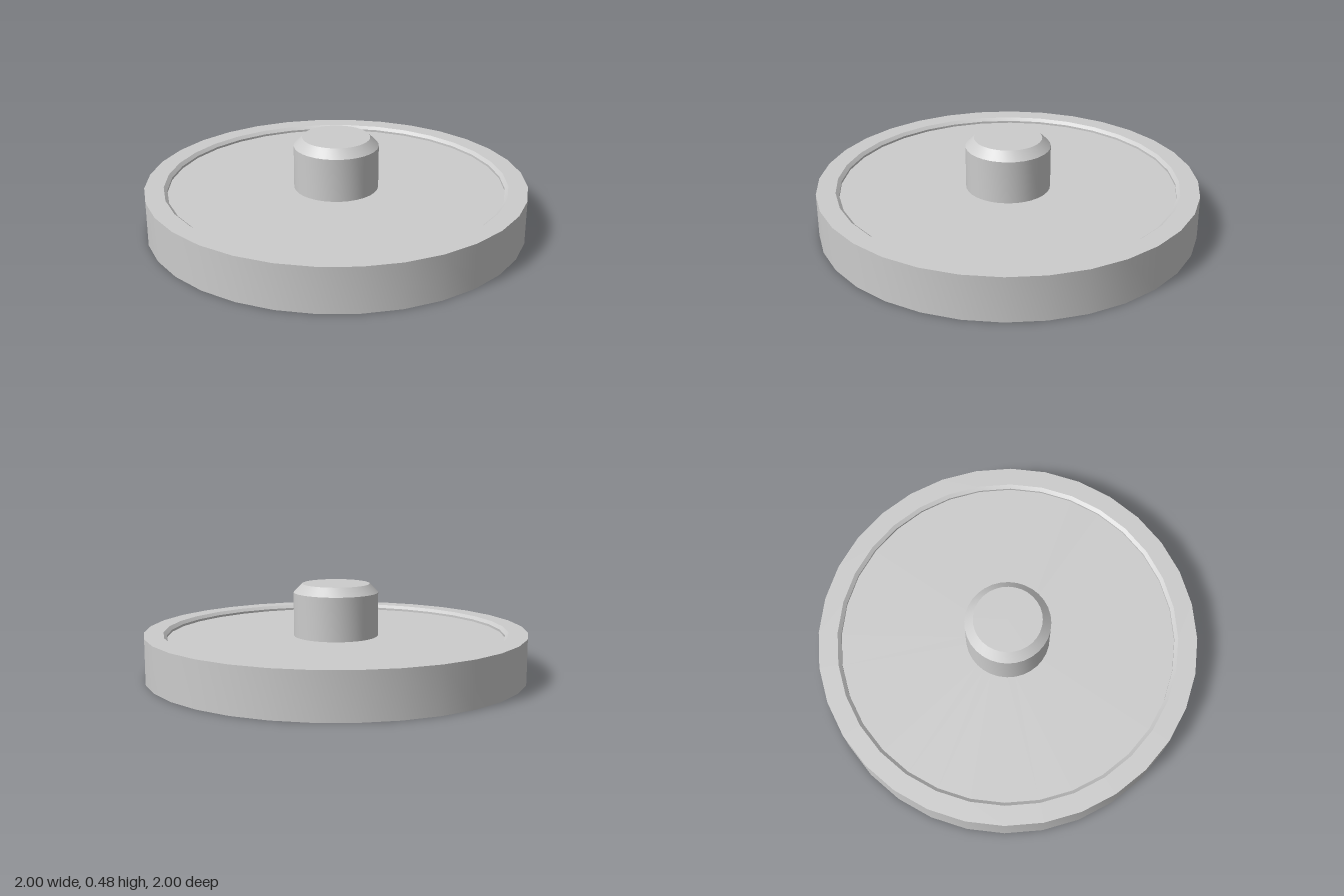
import * as THREE from 'three';
import { toCreasedNormals } from 'three/addons/utils/BufferGeometryUtils.js';

const SIDES = 32;
const material = new THREE.MeshStandardMaterial({ color: 0xcccccc });

// Turned part from [radius, height] pairs, smooth around and sharp at profile corners
function turned(name, profile) {
  const points = profile.map(([r, y]) => new THREE.Vector2(r, y));
  const geometry = toCreasedNormals(new THREE.LatheGeometry(points, SIDES), Math.PI / 6);
  const mesh = new THREE.Mesh(geometry, material);
  mesh.name = name;
  return mesh;
}

export function createModel() {
  const group = new THREE.Group();
  group.name = 'knobbedDisc';

  const rimTop = 0.234, floor = 0.206, knobRadius = 0.222;

  // Round tray: flat base, raised rim with bevelled inner edge, recessed floor
  group.add(turned('disc', [
    [0, 0], [1, 0], [1, rimTop], [0.9, rimTop],
    [0.882, rimTop - 0.016], [0.882, floor], [knobRadius, floor],
  ]));

  // Central knob with chamfered top, rising from the floor
  group.add(turned('knob', [
    [knobRadius, floor], [knobRadius, 0.434], [0.177, 0.479], [0, 0.479],
  ]));

  return group;
}
